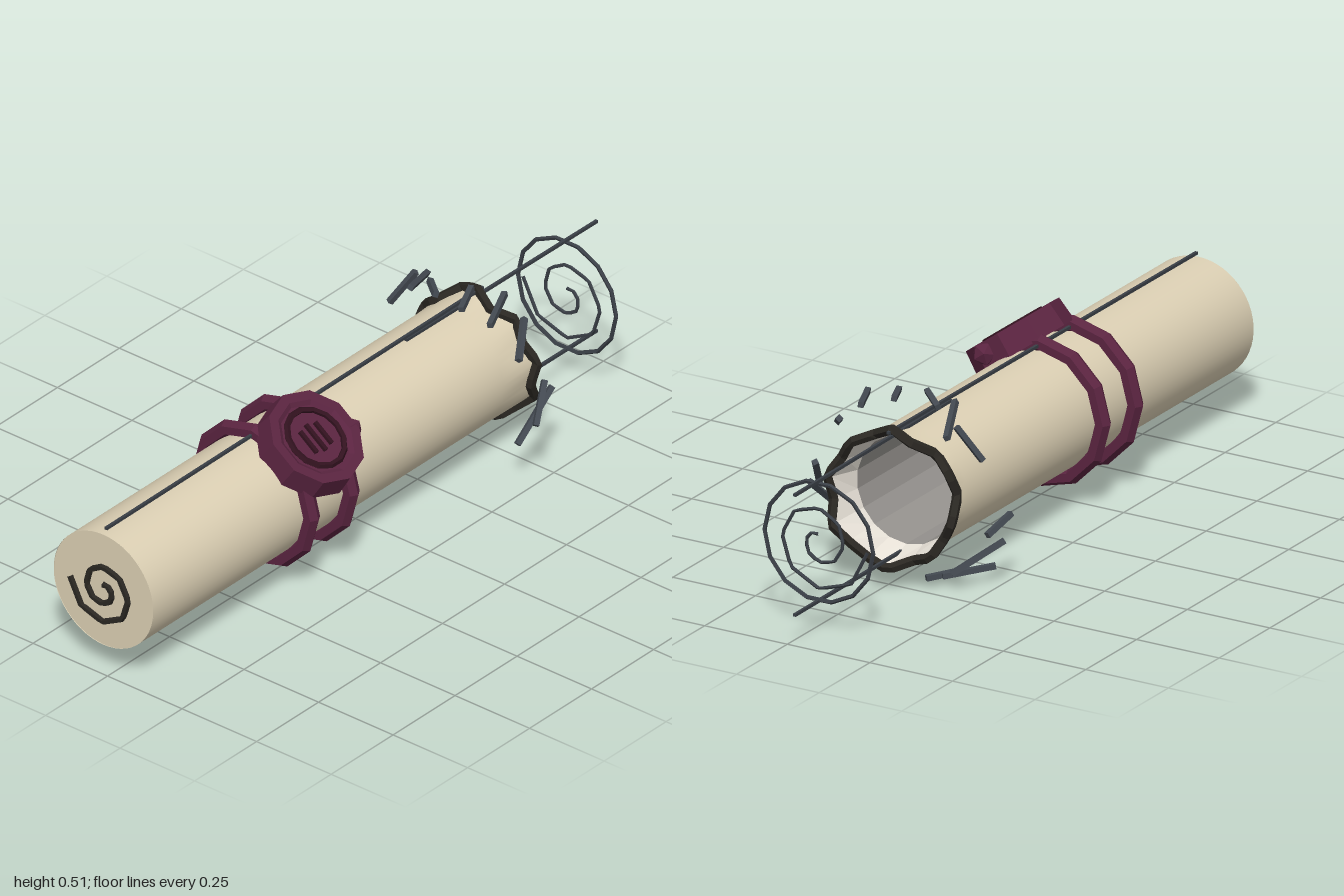
import * as THREE from 'three';

const CY = 0.25, CZ = -0.022, R = 0.167;
const mat = (color, flat = true, side = THREE.FrontSide) =>
  new THREE.MeshStandardMaterial({ color, flatShading: flat, side });
const paper = mat(0xdcd0b4, false, THREE.DoubleSide);
const lining = mat(0x96938f, true, THREE.DoubleSide);
const paleEdge = mat(0xe6e0d6, true, THREE.DoubleSide);
const char = mat(0x2a2722);
const ink = mat(0x3a3f46);
const ash = mat(0x444a52);
const wax = mat(0x5a2440);
const darkWax = mat(0x32121f);

// Burnt mouth: axial position and char radius around the roll, from the top towards +z
const mouthX = [0.52, 0.5, 0.535, 0.52, 0.54, 0.525, 0.56, 0.55, 0.53,
  0.54, 0.505, 0.52, 0.5, 0.52, 0.475, 0.5, 0.48, 0.53];
const mouthR = [0.192, 0.172, 0.18, 0.172, 0.186, 0.174, 0.182, 0.172, 0.184,
  0.19, 0.174, 0.184, 0.172, 0.184, 0.174, 0.184, 0.172, 0.18];
const N = mouthX.length;
function around(list, t) {
  const f = t * N, i = Math.floor(f), k = f - i;
  return list[i % N] * (1 - k) + list[(i + 1) % N] * k;
}
const polar = (x, r, t) =>
  new THREE.Vector3(x, r * Math.cos(t * 2 * Math.PI), r * Math.sin(t * 2 * Math.PI));

// Skin made from closed rings; each row maps t in 0..1 to a point
function skin(rows, seg) {
  const pos = [], idx = [];
  rows.forEach((row) => {
    for (let i = 0; i < seg; i++) pos.push(...row(i / seg).toArray());
  });
  for (let r = 0; r < rows.length - 1; r++) {
    for (let i = 0; i < seg; i++) {
      const a = r * seg + i, b = r * seg + (i + 1) % seg;
      idx.push(a, b, a + seg, b, b + seg, a + seg);
    }
  }
  const g = new THREE.BufferGeometry();
  g.setAttribute('position', new THREE.Float32BufferAttribute(pos, 3));
  g.setIndex(idx);
  g.computeVertexNormals();
  return g;
}

function add(parent, name, geo, material) {
  const m = new THREE.Mesh(geo, material);
  m.name = name;
  parent.add(m);
  return m;
}

// Straight-edged tube through points
function wire(points, r, closed = false) {
  const path = new THREE.CurvePath();
  const n = closed ? points.length : points.length - 1;
  for (let i = 0; i < n; i++) {
    path.add(new THREE.LineCurve3(points[i], points[(i + 1) % points.length]));
  }
  return new THREE.TubeGeometry(path, n * 3, r, 5, closed);
}

function spiral(x, scale) {
  const pts = [];
  for (let i = 0; i <= 14; i++) {
    const t = i / 8;
    pts.push(polar(x, (0.02 + 0.07 * t) * scale, t));
  }
  return pts;
}

// Square sliver between two points
const Z = new THREE.Vector3(0, 0, 1);
function sliver(parent, name, a, b, w, material) {
  const m = add(parent, name, new THREE.BoxGeometry(w, w, a.distanceTo(b)), material);
  m.position.copy(a).lerp(b, 0.5);
  m.quaternion.setFromUnitVectors(Z, b.clone().sub(a).normalize());
}

export function createModel() {
  const model = new THREE.Group();
  const roll = new THREE.Group();
  roll.name = 'scroll';
  roll.position.set(0, CY, CZ);
  model.add(roll);

  // Paper roll, open and ragged at the burnt end
  add(roll, 'paperRoll', skin([
    (t) => polar(-0.99, R, t),
    (t) => polar(0.42, R, t),
    (t) => polar(around(mouthX, t), around(mouthR, t) - 0.008, t),
  ], N * 3), paper);
  add(roll, 'innerLining', skin([
    (t) => polar(-0.98, 0.147, t),
    (t) => polar(0.45, 0.149, t),
  ], N), lining);
  add(roll, 'paleInnerEdge', skin([
    (t) => polar(0.45, 0.149, t),
    (t) => polar(around(mouthX, t), around(mouthR, t) - 0.01, t),
  ], N), paleEdge);
  const cap = add(roll, 'endCap', new THREE.CircleGeometry(R, 56), paper);
  cap.rotation.y = -Math.PI / 2;
  cap.position.x = -0.988;

  // Charred rim
  add(roll, 'charredRim',
    wire(mouthX.map((x, i) => polar(x, mouthR[i], i / N)), 0.014, true), char);

  // Spiral on the closed end, spiral and ring floating beyond the burnt end
  add(roll, 'endSpiral', wire(spiral(-0.99, 0.78), 0.009), char);
  add(roll, 'outlineSpiral', wire(spiral(0.88, 1.04), 0.005), ink);
  const ring = add(roll, 'outlineRing', new THREE.TorusGeometry(R - 0.002, 0.006, 5, 14), ink);
  ring.rotation.y = Math.PI / 2;
  ring.position.x = 0.88;

  // Thin lines: paper seam and the outline of the missing length
  const lines = [
    ['seamLine', -0.98, 0.181, 0.54, 0.187],
    ['upperOutline', 0.23, 0.175, 1, 0.168],
    ['lowerOutline', 0.45, -0.161, 1, -0.164],
  ];
  lines.forEach(([name, x0, y0, x1, y1]) => sliver(roll, name,
    new THREE.Vector3(x0, y0, 0), new THREE.Vector3(x1, y1, 0), 0.008, ink));

  // Two wax-red bands
  [-0.375, -0.215].forEach((x) => {
    const band = add(roll, 'band', new THREE.TorusGeometry(0.187, 0.023, 6, 12), wax);
    band.rotation.y = Math.PI / 2;
    band.position.x = x;
  });

  // Wax seal, tilted forward on the roll
  const tilt = new THREE.Group();
  tilt.name = 'waxSeal';
  tilt.position.set(-0.292, 0, 0);
  tilt.rotation.x = 0.63;
  roll.add(tilt);
  const profile = [[0, 0.16], [0.145, 0.16], [0.139, 0.228],
    [0.112, 0.228], [0.1, 0.22], [0, 0.22]];
  add(tilt, 'sealBody',
    new THREE.LatheGeometry(profile.map((p) => new THREE.Vector2(...p)), 10), wax);
  const sealRing = add(tilt, 'sealRing', new THREE.TorusGeometry(0.084, 0.009, 5, 14), darkWax);
  sealRing.rotation.x = Math.PI / 2;
  sealRing.position.y = 0.223;
  [-1, 0, 1].forEach((i) => {
    const bar = add(tilt, 'sealBar',
      new THREE.BoxGeometry(0.011, 0.012, i ? 0.07 : 0.085), darkWax);
    bar.position.set(i * 0.03, 0.223, 0);
  });
  const drip = add(tilt, 'waxDrip', new THREE.IcosahedronGeometry(0.034, 0), wax);
  drip.position.set(0.13, 0.2, 0.025);

  // Ash flakes drifting around the burnt end: start and end x, y, z
  const flakes = [
    [0.37, 0.467, 0.143, 0.5, 0.48, 0.085],
    [0.36, 0.485, 0.055, 0.45, 0.495, 0.015],
    [0.36, 0.497, -0.03, 0.42, 0.485, -0.1],
    [0.36, 0.485, -0.115, 0.5, 0.44, -0.175],
    [0.46, 0.46, -0.18, 0.42, 0.365, -0.235],
    [0.34, 0.2, -0.272, 0.43, 0.165, -0.255],
    [0.36, 0.13, -0.265, 0.46, 0.05, -0.165],
    [0.34, 0.045, -0.225, 0.43, 0.025, -0.12],
    [0.36, 0.018, -0.13, 0.43, 0.009, -0.07],
    [0.48, 0.285, 0.235, 0.4, 0.2, 0.272],
    [0.38, 0.135, 0.227, 0.52, 0.245, 0.227],
    [0.4, 0.375, 0.215, 0.5, 0.43, 0.15],
  ];
  flakes.forEach((f) => sliver(model, 'ashFlake',
    new THREE.Vector3(...f.slice(0, 3)), new THREE.Vector3(...f.slice(3)), 0.015, ash));

  return model;
}
